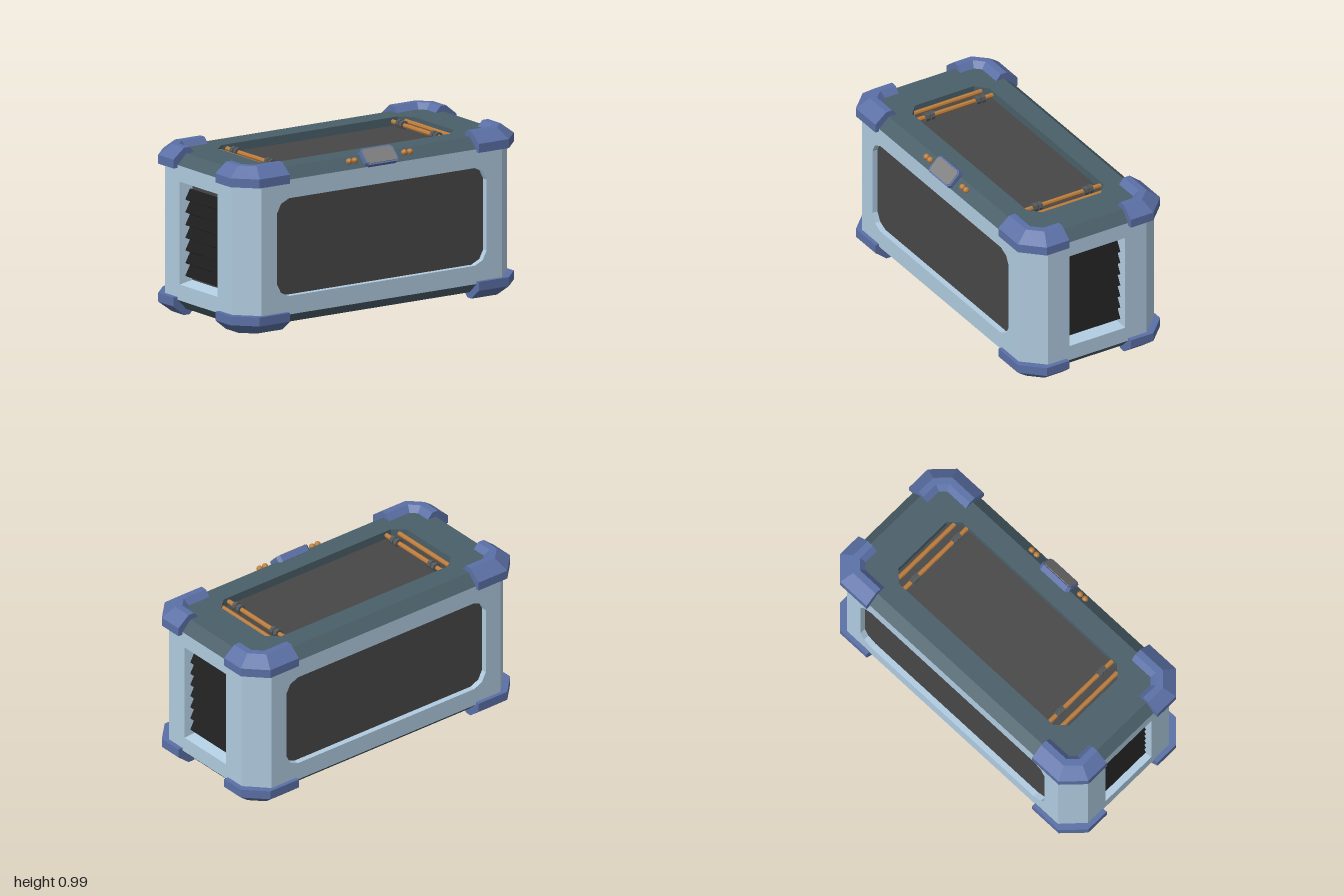
import * as THREE from 'three';

const mat = (color) => new THREE.MeshStandardMaterial({ color, flatShading: true });
const MID = 0.4965; // half of the total height

export function createModel() {
  const shell = mat(0xb0cbe0), slate = mat(0x4a5f69), dark = mat(0x474747), black = mat(0x1c1c1c);
  const blue = mat(0x5b70a6), copper = mat(0xbb7c3c), steel = mat(0x808080), clampGrey = mat(0x55585a);
  const root = new THREE.Group();

  function add(parent, name, geo, material, x = 0, y = 0, z = 0) {
    const mesh = new THREE.Mesh(geo, material);
    mesh.name = name;
    mesh.position.set(x, y, z);
    parent.add(mesh);
    return mesh;
  }
  function group(name) {
    const g = new THREE.Group();
    g.name = name;
    root.add(g);
    return g;
  }

  // Mirrors a first-quadrant corner into a full counter-clockwise outline
  function outline(corner) {
    const rev = [...corner].reverse();
    return [
      ...corner, ...rev.map(([x, y]) => [-x, y]),
      ...corner.map(([x, y]) => [-x, -y]), ...rev.map(([x, y]) => [x, -y]),
    ];
  }
  const shapeOf = (pts) => new THREE.Shape(pts.map(([x, y]) => new THREE.Vector2(x, y)));
  const ringAt = (pts, z) => pts.map(([x, y]) => [x, y, z]);

  // Faceted skin between successive closed rings, optionally capped
  function loft(rings, capped = false) {
    const v = [], n = rings[0].length;
    for (let r = 0; r + 1 < rings.length; r++) {
      for (let i = 0; i < n; i++) {
        const j = (i + 1) % n, a = rings[r], b = rings[r + 1];
        v.push(...a[i], ...a[j], ...b[j], ...a[i], ...b[j], ...b[i]);
      }
    }
    if (capped) {
      const s = rings[0], e = rings[rings.length - 1];
      for (let i = 1; i + 1 < n; i++) v.push(...s[0], ...s[i + 1], ...s[i], ...e[0], ...e[i], ...e[i + 1]);
    }
    const geo = new THREE.BufferGeometry();
    geo.setAttribute('position', new THREE.Float32BufferAttribute(v, 3));
    geo.computeVertexNormals();
    return geo;
  }

  // Flat wall facing local +z with a sunken panel
  function recessedWall(g, name, outer, hole, inner, depth, wallMat) {
    const face = shapeOf(outer);
    face.holes.push(shapeOf(hole));
    add(g, name + 'Face', new THREE.ShapeGeometry(face), wallMat);
    add(g, name + 'Reveal', loft([ringAt(hole, 0), ringAt(inner, -depth)]), wallMat);
    add(g, name + 'Panel', new THREE.ShapeGeometry(shapeOf(inner)), dark, 0, 0, -depth);
  }

  // Front and back walls with long windows
  const windowHole = outline([[0.74, 0.21], [0.712, 0.264], [0.655, 0.29]]);
  for (const s of [1, -1]) {
    const g = group(s > 0 ? 'frontWall' : 'backWall');
    g.position.set(0, MID, s * 0.46);
    g.rotation.y = s > 0 ? 0 : Math.PI;
    recessedWall(g, 'window', outline([[0.85, 0.4]]), windowHole, windowHole, 0.035, shell);
  }

  // End walls with louvred vents
  for (const s of [1, -1]) {
    const g = group(s > 0 ? 'leftEndWall' : 'rightEndWall');
    g.position.set(s * 0.97, MID, 0);
    g.rotation.y = s * Math.PI / 2;
    recessedWall(g, 'vent', outline([[0.335, 0.4]]), outline([[0.19, 0.305]]), outline([[0.175, 0.285]]), 0.08, shell);
    for (let i = 0; i < 7; i++) {
      const slat = add(g, 'ventSlat', new THREE.BoxGeometry(0.352, 0.07, 0.012), black, 0, (i - 3) * 0.0755, -0.052);
      slat.rotation.x = -0.5;
    }
  }

  // Bevelled vertical corners
  for (const sx of [1, -1]) for (const sz of [1, -1]) {
    const corner = add(root, 'cornerBevel', new THREE.PlaneGeometry(Math.hypot(0.12, 0.125), 0.8), shell,
      sx * 0.91, MID, sz * 0.3975);
    corner.rotation.y = Math.atan2(sx * 0.125, sz * 0.12);
  }

  // Sloped bands with the lid on top and the plain underside
  const wide = outline([[0.97, 0.335], [0.85, 0.46]]);
  const narrow = outline([[0.91, 0.308], [0.823, 0.393]]);
  const lidHole = outline([[0.69, 0.2], [0.62, 0.263]]);
  for (const s of [1, -1]) {
    const g = group(s > 0 ? 'lid' : 'base');
    g.rotation.x = -s * Math.PI / 2;
    g.position.y = MID + s * 0.461;
    add(g, 'slopedBand', loft([ringAt(wide, -0.061), ringAt(narrow, 0)]), slate);
    if (s > 0) recessedWall(g, 'lid', narrow, lidHole, lidHole, 0.05, slate);
    else add(g, 'underside', new THREE.ShapeGeometry(shapeOf(narrow)), slate);
  }

  // Copper rods and their clamps in the lid recess
  function rod(name, material, radius, length, x, y, z) {
    add(root, name, new THREE.CylinderGeometry(radius, radius, length, 8).rotateX(Math.PI / 2), material, x, y, z);
  }
  for (const s of [1, -1]) {
    rod('outerRod', copper, 0.014, 0.46, s * 0.655, 0.932, 0);
    rod('innerRod', copper, 0.014, 0.524, s * 0.585, 0.932, 0);
    for (const z of [-0.19, -0.155, 0.155, 0.19]) rod('rodClamp', clampGrey, 0.027, 0.024, s * 0.585, 0.933, z);
    add(root, 'clampBridge', new THREE.BoxGeometry(0.034, 0.034, 0.06), clampGrey, s * 0.585, 0.932, 0.1725);
    add(root, 'clampBridge', new THREE.BoxGeometry(0.034, 0.034, 0.06), clampGrey, s * 0.585, 0.932, -0.1725);
  }

  // Corner guards: one profile (inset, height) swept round each bevelled corner
  const profile = [[0, 0.383], [0, 0.436], [0.075, MID], [0.115, MID], [0.15, 0.458], [0.15, 0.383]];
  function cornerGuard(sx, sy, sz) {
    const k = Math.tan(Math.PI / 8);
    const stations = [
      (d) => [1 - d, 0.21], (d) => [1 - d, 0.363 - d * k],
      (d) => [0.88 - d * k, 0.485 - d], (d) => [0.667, 0.485 - d],
    ];
    let rings = stations.map((at) => profile.map(([d, h]) => {
      const [x, z] = at(d);
      return [sx * x, MID + sy * h, sz * z];
    }));
    if (sx * sy * sz < 0) rings = rings.reverse();
    add(root, sy > 0 ? 'upperCornerGuard' : 'lowerCornerGuard', loft(rings, true), blue);
  }
  for (const sx of [1, -1]) for (const sy of [1, -1]) for (const sz of [1, -1]) cornerGuard(sx, sy, sz);

  // Tilted front latch with its plate
  const latch = group('frontLatch');
  latch.position.set(0, 0.937, 0.422);
  latch.rotation.x = -Math.PI / 4;
  const block = (w, h, c, depth) => new THREE.ExtrudeGeometry(
    shapeOf(outline([[w, h - c], [w - c, h]])), { depth, bevelEnabled: false });
  add(latch, 'latchFrame', block(0.115, 0.058, 0.018, 0.04), blue, 0, 0, -0.02);
  add(latch, 'latchPlate', block(0.105, 0.049, 0.014, 0.006), steel, 0, 0, 0.018);

  // Copper studs beside the latch
  for (const x of [-0.207, -0.167, 0.183, 0.223]) {
    add(root, 'copperStud', new THREE.SphereGeometry(0.019, 10, 8), copper, x, 0.937, 0.425);
  }
  return root;
}
